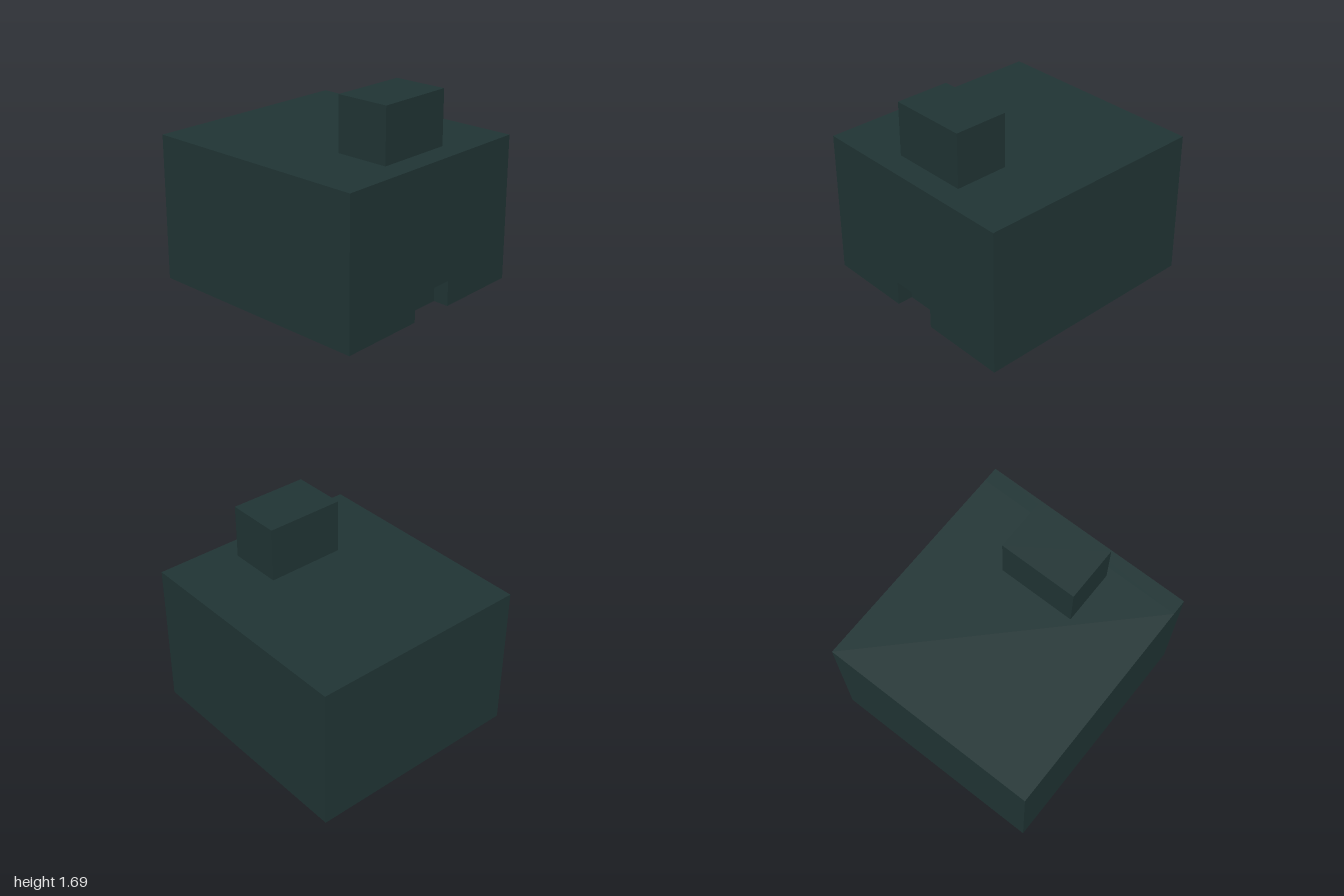
import * as THREE from 'three';

export function createModel() {
  const group = new THREE.Group();
  const material = new THREE.MeshStandardMaterial({ color: 0x203434, flatShading: true });

  function add(name, geometry, x, y, z) {
    const mesh = new THREE.Mesh(geometry, material);
    mesh.name = name;
    mesh.position.set(x, y, z);
    group.add(mesh);
  }

  const halfWidth = 0.933, height = 1.233, notchDepth = 0.133;

  // Main block, behind the notched front
  add('body', new THREE.BoxGeometry(2 * halfWidth, height, 2 - notchDepth), 0, height / 2, -notchDepth / 2);

  // Front layer with the doorway notch cut from its bottom edge
  const front = new THREE.Shape([
    [-halfWidth, 0], [-0.2, 0], [-0.2, 0.213], [0.2, 0.213],
    [0.2, 0], [halfWidth, 0], [halfWidth, height], [-halfWidth, height],
  ].map(([x, y]) => new THREE.Vector2(x, y)));
  add('notchedFront', new THREE.ExtrudeGeometry(front, { depth: notchDepth, bevelEnabled: false }), 0, 0, 1 - notchDepth);

  // Small block on top, near the front
  add('topBlock', new THREE.BoxGeometry(0.667, 0.457, 0.464), 0, height + 0.2285, 0.568);

  return group;
}
